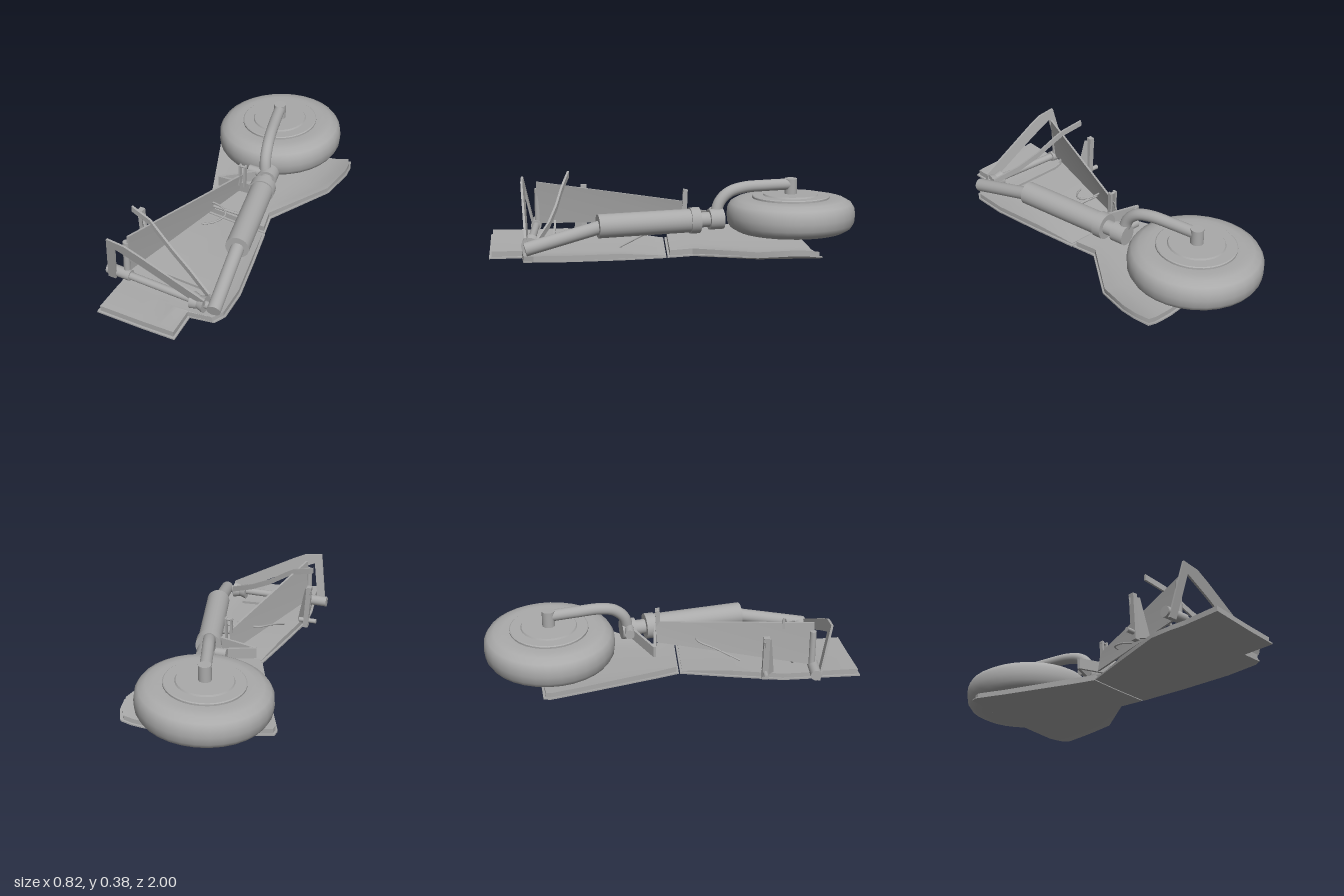
import * as THREE from 'three';
import { toCreasedNormals } from 'three/addons/utils/BufferGeometryUtils.js';

const V = (x, y, z) => new THREE.Vector3(x, y, z);

export function createModel() {
  const group = new THREE.Group();
  const grey = new THREE.MeshStandardMaterial({ color: 0xaaaaaa });
  grey.name = 'grey';

  function add(name, geometry) {
    const mesh = new THREE.Mesh(geometry, grey);
    mesh.name = name;
    group.add(mesh);
    return mesh;
  }

  // Solid through equal cross-sections; point i lies opposite point n-1-i
  function loft(name, rings) {
    const n = rings[0].length, index = [];
    const quad = (a, b, c, d) => index.push(a, b, c, a, c, d);
    for (let k = 0; k < rings.length - 1; k++) {
      for (let i = 0; i < n; i++) {
        const j = (i + 1) % n;
        quad(k * n + i, k * n + j, (k + 1) * n + j, (k + 1) * n + i);
      }
    }
    const e = (rings.length - 1) * n;
    for (let i = 0; i < n / 2 - 1; i++) {
      quad(e + i, e + i + 1, e + n - 2 - i, e + n - 1 - i);
      quad(n - 1 - i, n - 2 - i, i + 1, i);
    }
    const g = new THREE.BufferGeometry().setFromPoints(rings.flat());
    g.setIndex(index);
    return add(name, toCreasedNormals(g, 0.5));
  }

  // Flat bar along a path: w is its half width direction, t its half thickness
  function bar(name, pts, w, t) {
    return loft(name, pts.map((p, i) => {
      const d = pts[Math.min(i + 1, pts.length - 1)].clone().sub(pts[Math.max(i - 1, 0)]);
      const s = d.cross(w).normalize().multiplyScalar(t);
      return [[-1, -1], [1, -1], [1, 1], [-1, 1]].map(([a, b]) =>
        p.clone().addScaledVector(w, a).addScaledVector(s, b));
    }));
  }

  // Round rod between two points
  function rod(name, a, b, r0, r1 = r0, sides = 24) {
    const d = b.clone().sub(a);
    const mesh = add(name, new THREE.CylinderGeometry(r1, r0, d.length(), sides));
    mesh.position.copy(a).addScaledVector(d, 0.5);
    mesh.quaternion.setFromUnitVectors(V(0, 1, 0), d.normalize());
    return mesh;
  }

  const tube = (name, pts, r, sides = 16) =>
    add(name, new THREE.TubeGeometry(new THREE.CatmullRomCurve3(pts), 32, r, sides));

  // Curved door panels: rows of left x, left z, right x, right z, thickness
  const curve = [[-0.42, 0.05], [-0.25, 0.027], [0, 0.01], [0.2, 0.002], [0.3, 0.012], [0.36, 0.03], [0.42, 0.06]];
  function doorY(x) {
    let i = 0;
    while (i < curve.length - 2 && x > curve[i + 1][0]) i++;
    const [x0, y0] = curve[i], [x1, y1] = curve[i + 1];
    return y0 + (y1 - y0) * (x - x0) / (x1 - x0);
  }
  function panel(name, rows, inset, base, scale) {
    const cols = 14;
    loft(name, rows.map(([lx, lz, rx, rz, t], k) => {
      const dz = k === 0 ? inset : k === rows.length - 1 ? -inset : 0;
      const low = [], high = [];
      for (let i = 0; i <= cols; i++) {
        const u = i / cols;
        const x = lx + inset + (rx - lx - 2 * inset) * u;
        const z = lz + (rz - lz) * u + dz;
        low.push(V(x, doorY(x) + base, z));
        high.unshift(V(x, doorY(x) + base + t * scale, z));
      }
      return [...low, ...high];
    }));
  }
  const rearRows = [
    [-0.41, -0.68, 0.37, -0.755, 0.03], [-0.415, -0.64, 0.4, -0.68, 0.03], [-0.395, -0.59, 0.41, -0.6, 0.03],
    [-0.35, -0.48, 0.38, -0.42, 0.03], [-0.19, -0.08, 0.175, -0.1, 0.034], [-0.145, 0.035, 0.205, 0.035, 0.034],
  ];
  const frontRows = [
    [-0.145, 0.042, 0.21, 0.042, 0.008], [-0.2, 0.28, 0.265, 0.28, 0.03], [-0.265, 0.58, 0.325, 0.55, 0.03],
    [-0.26, 0.71, 0.335, 0.73, 0.03], [-0.25, 0.785, 0.3, 0.785, 0.03], [-0.25, 0.8, 0.17, 0.8, 0.032],
    [-0.245, 0.998, 0.18, 0.972, 0.034],
  ];
  for (const [name, rows] of [['rearDoor', rearRows], ['frontDoor', frontRows]]) {
    panel(name + 'Skin', rows.map(r => [...r.slice(0, 4), 0.008]), 0, 0, 1);
    panel(name + 'Core', rows, 0.012, 0.004, 1);
  }

  // Wheel, slightly tilted
  const wheel = new THREE.Group();
  wheel.name = 'wheel';
  wheel.position.set(-0.04, 0.177, -0.65);
  wheel.rotation.z = 0.045;
  group.add(wheel);
  const half = [[0.2, 0.09], [0.25, 0.092], [0.295, 0.086], [0.33, 0.066], [0.346, 0.04], [0.35, 0]];
  const lathe = pts => toCreasedNormals(
    new THREE.LatheGeometry(pts.map(([r, y]) => new THREE.Vector2(r, y)), 32), 0.6);
  const tyre = add('tyre', lathe([...half.map(([r, y]) => [r, -y]), ...half.slice(0, -1).reverse()]));
  const hub = add('hub', lathe([[0, -0.1], [0.14, -0.1], [0.145, -0.095], [0.205, -0.1], [0.21, -0.08],
    [0.21, 0.1], [0.205, 0.104], [0.15, 0.104], [0.145, 0.112], [0, 0.112]]));
  wheel.add(tyre, hub);

  // Axle and bent wheel arm
  rod('axle', V(-0.045, 0.25, -0.65), V(-0.045, 0.373, -0.65), 0.034);
  tube('wheelArm', [V(-0.045, 0.342, -0.65), V(-0.01, 0.343, -0.51), V(0.025, 0.34, -0.38), V(0.048, 0.318, -0.3),
    V(0.062, 0.27, -0.25), V(0.075, 0.19, -0.225)], 0.031, 20);

  // Main strut, positioned by z along its level axis
  const onStrut = z => V(0.11 + 0.217 * (z + 0.13), 0.183, z);
  const sections = [['strutKnuckle', -0.265, -0.19, 0.055], ['strutNeck', -0.2, -0.12, 0.04],
    ['strutCollar', -0.135, -0.085, 0.07], ['strutCylinder', -0.1, 0.4, 0.063]];
  for (const [name, a, b, r] of sections) rod(name, onStrut(a), onStrut(b), r);
  rod('upperStrut', V(0.218, 0.185, 0.36), V(0.29, 0.08, 0.775), 0.036);

  // Cross shaft with end sleeve and flared collar
  rod('crossShaft', V(-0.25, 0.09, 0.745), V(0.26, 0.085, 0.755), 0.02);
  rod('shaftSleeve', V(-0.335, 0.09, 0.743), V(-0.2, 0.09, 0.745), 0.029);
  rod('shaftCollar', V(0.16, 0.084, 0.752), V(0.198, 0.084, 0.753), 0.045, 0.034);
  rod('shaftCollar', V(0.198, 0.084, 0.753), V(0.235, 0.084, 0.754), 0.034, 0.045);

  // Tall web plate beside the strut, with a thick front post
  const web = (z, x, y0, y1) => [V(x - 0.02, y0, z), V(x - 0.008, y0, z), V(x + 0.012, y1, z), V(x, y1, z)];
  loft('webPlate', [web(-0.08, 0.0, 0.15, 0.262), web(0.74, -0.215, 0.1, 0.338)]);
  rod('webPost', V(-0.228, 0.1, 0.735), V(-0.225, 0.295, 0.735), 0.017);

  // Tilted triangular frame at the front
  const outline = [[-0.325, 0.055], [-0.28, 0.055], [-0.242, 0.3], [-0.1, 0.235], [0.18, 0.095], [0.24, 0.09],
    [0.24, 0.13], [-0.1, 0.305], [-0.18, 0.342], [-0.28, 0.355]];
  const frame = new THREE.ExtrudeGeometry(new THREE.Shape(outline.map(([x, y]) => new THREE.Vector2(x, y))),
    { depth: 0.012, bevelEnabled: false });
  const p = frame.attributes.position;
  for (let i = 0; i < p.count; i++) p.setZ(i, p.getZ(i) + 0.755 + 0.2 * (p.getY(i) - 0.055));
  frame.computeVertexNormals();
  add('triangularFrame', frame);

  // Curved brace behind the frame
  bar('curvedBrace', [V(-0.288, 0.365, 0.565), V(-0.17, 0.333, 0.585), V(-0.12, 0.3, 0.6), V(-0.02, 0.23, 0.625),
    V(0.1, 0.165, 0.66), V(0.235, 0.105, 0.715)], V(0, 0.016, 0), 0.006);

  // Outer bracket on the web plate
  bar('outerBracket', [V(-0.275, 0.05, 0.48), V(-0.29, 0.302, 0.48)], V(0.014, 0, 0), 0.016);
  bar('outerBracketGusset', [V(-0.24, 0.06, 0.51), V(-0.285, 0.28, 0.485)], V(0.02, 0, 0.02), 0.006);
  rod('outerBracketPin', V(-0.335, 0.09, 0.48), V(-0.235, 0.09, 0.48), 0.013);

  // Fork linking the strut to the web plate
  const forkTip = V(-0.145, 0.16, -0.095);
  bar('forkArm', [forkTip, V(0.08, 0.19, -0.235)], V(0, 0.03, 0), 0.007);
  bar('forkArm', [forkTip, V(0.1, 0.19, -0.075)], V(0, 0.03, 0), 0.007);
  rod('forkPin', V(-0.02, 0.2, -0.22), V(0.08, 0.2, -0.22), 0.026);

  // Lug pair on top of the rear end of the web plate
  for (const x of [0, 0.03]) bar('lug', [V(x, 0.2, -0.065), V(x, 0.33, -0.07)], V(0.005, 0, 0), 0.012);
  rod('lugPin', V(-0.008, 0.322, -0.07), V(0.038, 0.322, -0.07), 0.007);

  // Thin pipes and links
  tube('pipe', [V(-0.18, 0.11, 0.36), V(-0.14, 0.165, 0.23), V(-0.095, 0.19, 0.14), V(0, 0.185, 0.14),
    V(0.04, 0.175, 0.18), V(0.01, 0.16, 0.24), V(-0.05, 0.15, 0.28)], 0.005, 8);
  rod('link', V(-0.05, 0.175, 0.14), V(0.12, 0.175, 0.14), 0.008, 0.008, 10);
  rod('doorLink', V(0.11, 0.04, 0.29), V(0.115, 0.14, 0.1), 0.006, 0.006, 10);
  bar('doorRail', [V(-0.2, 0.12, 0.64), V(-0.185, 0.095, 0.64), V(-0.15, 0.082, 0.64), V(0.15, 0.068, 0.64)],
    V(0, 0, 0.006), 0.007);

  return group;
}
